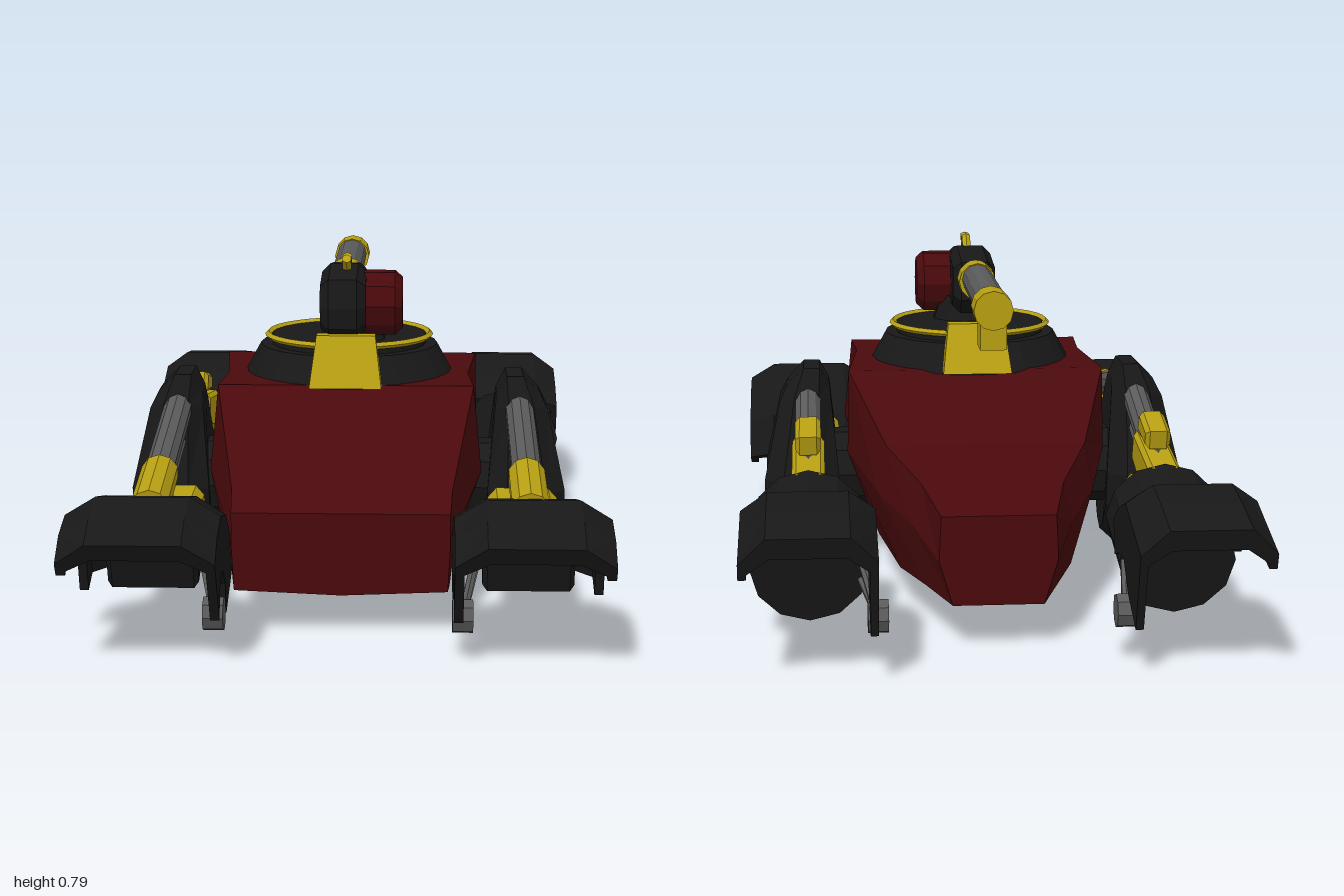
import * as THREE from 'three';

const mat = (color, side = THREE.FrontSide) =>
  new THREE.MeshStandardMaterial({ color, flatShading: true, side });
const RED = mat(0x4a090c), BLACK = mat(0x181818), YELLOW = mat(0xb8a012), GREY = mat(0x5a5a5a);
const SHELL = mat(0x181818, THREE.DoubleSide);
const lerp = THREE.MathUtils.lerp;

function add(parent, name, geometry, material) {
  const mesh = new THREE.Mesh(geometry, material);
  mesh.name = name;
  parent.add(mesh);
  return mesh;
}

// Closed skin over a list of cross-sections (loops of [x, y, z]), capped at both ends
function loft(sections) {
  const pos = [], n = sections[0].length;
  const quad = (a, b, c, d) => pos.push(...a, ...b, ...c, ...a, ...c, ...d);
  for (let i = 0; i < sections.length - 1; i++) {
    const A = sections[i], B = sections[i + 1];
    for (let j = 0; j < n; j++) {
      const k = (j + 1) % n;
      quad(A[j], A[k], B[k], B[j]);
    }
  }
  const A = sections[0], B = sections[sections.length - 1];
  for (let j = 0; j + 1 <= n - 2 - j; j++) {
    quad(A[n - 1 - j], A[n - 2 - j], A[j + 1], A[j]);
    quad(B[j], B[j + 1], B[n - 2 - j], B[n - 1 - j]);
  }
  const g = new THREE.BufferGeometry();
  g.setAttribute('position', new THREE.Float32BufferAttribute(pos, 3));
  g.computeVertexNormals();
  return g;
}

// Side profile of [z, y] points, extruded from x0 to x1 with bevelled edges
function profile(points, x0, x1, bevel = 0.01) {
  const shape = new THREE.Shape(points.map(p => new THREE.Vector2(p[0], p[1])));
  const g = new THREE.ExtrudeGeometry(shape, {
    depth: x1 - x0 - 2 * bevel, bevelThickness: bevel,
    bevelSize: bevel, bevelOffset: -bevel, bevelSegments: 1,
  });
  return g.rotateY(-Math.PI / 2).translate(x1 - bevel, 0, 0);
}

// Round rod between two [x, y, z] points
function rod(a, b, r, sides = 8, r2 = r) {
  const A = new THREE.Vector3(...a), B = new THREE.Vector3(...b), d = B.clone().sub(A);
  const g = new THREE.CylinderGeometry(r2, r, d.length(), sides);
  g.applyQuaternion(new THREE.Quaternion().setFromUnitVectors(new THREE.Vector3(0, 1, 0), d.normalize()));
  return g.translate(...A.add(B).multiplyScalar(0.5).toArray());
}

// Thick arched mudguard: chamfered top, deep inner skirt, outer skirt cut to a share of it
function fender(s, cx, half, outer, inner, outerDepth) {
  return loft(outer.map((o, i) => {
    const at = (dx, t) => [cx + s * dx * half, lerp(o[1], inner[i][1], t), lerp(o[0], inner[i][0], t)];
    const d = outerDepth[i];
    return [
      at(-1, 1), at(-1, 0.25), at(-0.6, 0), at(0.6, 0), at(1, 0.25), at(1, d),
      at(0.88, d), at(0.88, 0.35), at(0.55, 0.2), at(-0.55, 0.2), at(-0.88, 0.35), at(-0.88, 1),
    ];
  }));
}

function makeHull() {
  const hull = new THREE.Group();
  hull.name = 'hull';
  // z, keel y, bottom width, bottom y, middle width, middle y, top width, top y
  const stations = [
    [-0.72, 0.10, 0.10, 0.10, 0.13, 0.20, 0.125, 0.30],
    [-0.56, 0.16, 0.15, 0.10, 0.18, 0.24, 0.16, 0.335],
    [-0.38, 0.19, 0.20, 0.09, 0.25, 0.27, 0.23, 0.38],
    [-0.08, 0.19, 0.24, 0.09, 0.315, 0.30, 0.31, 0.50],
    [0.20, 0.19, 0.24, 0.09, 0.29, 0.30, 0.285, 0.50],
    [0.36, 0.09, 0.24, 0.09, 0.315, 0.30, 0.295, 0.50],
    [0.59, 0.09, 0.24, 0.09, 0.255, 0.22, 0.245, 0.31],
    [0.67, 0.09, 0.235, 0.10, 0.24, 0.20, 0.24, 0.275],
  ];
  add(hull, 'hullBody', loft(stations.map(([z, k, wb, yb, wm, ym, wt, yt]) => [
    [0, k, z], [wb, yb, z], [wm, ym, z], [wt, yt, z], [-wt, yt, z], [-wm, ym, z], [-wb, yb, z],
  ])), RED);
  // Hatch frames on the sloped underside
  const V = (x, y) => new THREE.Vector2(x, y);
  const frame = new THREE.Shape([V(-0.07, -0.08), V(0.07, -0.08), V(0.045, 0.08), V(-0.045, 0.08)]);
  frame.holes.push(new THREE.Path([V(-0.05, -0.06), V(-0.03, 0.06), V(0.03, 0.06), V(0.05, -0.06)]));
  for (const s of [1, -1])
    add(hull, 'bellyHatch', new THREE.ExtrudeGeometry(frame, { depth: 0.015, bevelEnabled: false })
      .rotateX(-Math.PI / 2).rotateZ(-s * 0.4).translate(s * 0.13, 0.128, 0), BLACK);
  return hull;
}

function makeTurret() {
  const t = new THREE.Group();
  t.name = 'turret';
  const cz = 0.13;
  add(t, 'turretBase', new THREE.CylinderGeometry(0.212, 0.25, 0.07, 24).translate(0, 0.528, cz), BLACK);
  add(t, 'turretDisc', new THREE.CylinderGeometry(0.185, 0.185, 0.03, 24).translate(0, 0.57, cz), BLACK);
  add(t, 'turretRing', new THREE.TorusGeometry(0.194, 0.008, 4, 32).rotateX(Math.PI / 2).translate(0, 0.584, cz), YELLOW);
  // Slanted brackets at the front and rear of the ring
  for (const s of [1, -1]) {
    const at = (y, w, d0, d1) => [[-w, y, cz + s * d0], [w, y, cz + s * d0], [w, y, cz + s * d1], [-w, y, cz + s * d1]];
    const low = at(0.5, 0.083, 0.21, 0.275), high = at(0.615, 0.068, 0.19, 0.225);
    add(t, 'ringBracket', loft(s > 0 ? [high, low] : [low, high]), YELLOW);
  }
  // Gun housing, side pod, sight
  add(t, 'gunPedestal', new THREE.CylinderGeometry(0.06, 0.08, 0.06, 10).translate(0.01, 0.615, 0.2), BLACK);
  add(t, 'gunHousing', profile([[0.37, 0.68], [0.36, 0.745], [0.22, 0.765], [0.05, 0.745], [0.05, 0.65],
    [0.1, 0.61], [0.3, 0.6], [0.36, 0.63]], -0.06, 0.045, 0.02), BLACK);
  add(t, 'podBody', rod([0.04, 0.675, 0.23], [0.112, 0.675, 0.23], 0.077, 10), RED);
  add(t, 'podCap', rod([0.112, 0.675, 0.23], [0.13, 0.675, 0.23], 0.077, 10, 0.06), RED);
  for (const z of [0.25, 0.29])
    add(t, 'sight', rod([0, 0.755, z - 0.03], [0, 0.785, z], 0.012, 6), YELLOW);
  // Barrel
  const x = -0.01, y = 0.705;
  add(t, 'barrelCollar', rod([x, y, 0.06], [x, y, -0.01], 0.045, 12), YELLOW);
  add(t, 'barrel', rod([x, y + 0.005, -0.01], [x, y + 0.005, -0.39], 0.038, 12), GREY);
  add(t, 'muzzle', rod([x, y, -0.38], [x, y, -0.465], 0.045, 12), YELLOW);
  add(t, 'muzzleFoot', new THREE.BoxGeometry(0.06, 0.08, 0.08).translate(x, 0.655, -0.42), YELLOW);
  add(t, 'muzzleBrace', rod([x, 0.685, -0.34], [x, 0.65, -0.39], 0.025, 8), GREY);
  return t;
}

function makeSide(s) {
  const side = new THREE.Group();
  side.name = s > 0 ? 'leftRunningGear' : 'rightRunningGear';
  const cx = s * 0.41;
  const P = (dx, z, y) => [cx + s * dx, y, z];
  const slab = (name, pts, half, m, bevel) => add(side, name, profile(pts, cx - half, cx + half, bevel), m);

  // Teardrop hub, thinner towards its top
  const hub = new THREE.ExtrudeGeometry(new THREE.Shape(
    [[0.04, 0.485], [0.0, 0.42], [-0.065, 0.22], [-0.05, 0.12], [0.03, 0.03], [0.1, 0.0], [0.17, 0.03],
      [0.24, 0.12], [0.255, 0.22], [0.2, 0.42], [0.16, 0.485]].reverse().map(p => new THREE.Vector2(...p))),
  { depth: 0.5, bevelThickness: 0.25, bevelSize: 0.04, bevelOffset: -0.04, bevelSegments: 1 });
  hub.rotateY(-Math.PI / 2).translate(0.25, 0, 0);
  const p = hub.attributes.position;
  for (let i = 0; i < p.count; i++) {
    const k = THREE.MathUtils.clamp((p.getY(i) - 0.22) / 0.26, 0, 1);
    p.setX(i, s * lerp(lerp(0.335, 0.36, k), lerp(0.52, 0.44, k * k), s * p.getX(i) + 0.5));
  }
  hub.computeVertexNormals();
  add(side, 'hub', hub, BLACK);
  add(side, 'hubAxle', rod([s * 0.25, 0.22, 0.1], [s * 0.36, 0.22, 0.1], 0.1, 10), BLACK);

  // Front leg: thick and thin rod, round yellow sleeves, lower housing
  add(side, 'frontUpperRod', rod(P(0, 0.1, 0.425), P(0, 0.6, 0.325), 0.034, 10), GREY);
  add(side, 'frontLowerRod', rod(P(0, 0.1, 0.355), P(0, 0.6, 0.265), 0.022), GREY);
  add(side, 'frontSleeve', rod(P(0, 0.54, 0.335), P(0, 0.73, 0.3), 0.042, 10), YELLOW);
  add(side, 'frontLowerSleeve', rod(P(0, 0.56, 0.27), P(0, 0.76, 0.25), 0.038, 10), YELLOW);
  slab('frontHousing', [[0.34, 0.15], [0.42, 0.125], [0.59, 0.125], [0.6, 0.25], [0.36, 0.26], [0.335, 0.23]], 0.08, YELLOW, 0.02);
  add(side, 'frontLink', rod(P(0, 0.15, 0.2), P(0, 0.36, 0.2), 0.03), GREY);
  add(side, 'frontFender', fender(s, cx, 0.165,
    [[1.0, 0.29], [0.93, 0.33], [0.83, 0.35], [0.7, 0.32], [0.6, 0.25], [0.55, 0.15]],
    [[0.89, 0.1], [0.87, 0.16], [0.84, 0.19], [0.8, 0.18], [0.76, 0.14], [0.74, 0.07]],
    [0.4, 0.42, 0.5, 0.55, 0.6, 0.65]), SHELL);
  slab('frontFenderRoot', [[0.57, 0.16], [0.69, 0.11], [0.72, 0.2], [0.68, 0.28], [0.61, 0.23]], 0.1, BLACK);

  // Rear leg: rods, yellow slab and clamps, lower link
  add(side, 'rearUpperRod', rod(P(0, 0.1, 0.43), P(0, -0.42, 0.29), 0.032, 10), GREY);
  add(side, 'rearLowerRod', rod(P(0, 0.1, 0.365), P(0, -0.42, 0.24), 0.022), GREY);
  for (const dx of [-0.018, 0.018])
    add(side, 'rearLink', rod(P(dx, 0.0, 0.2), P(dx, -0.42, 0.13), 0.012), GREY);
  slab('rearSlab', [[-0.43, 0.22], [-0.17, 0.29], [-0.195, 0.365], [-0.44, 0.33]], 0.038, YELLOW);
  slab('rearSlabBlock', [[-0.33, 0.35], [-0.2, 0.37], [-0.23, 0.42], [-0.34, 0.395]], 0.03, YELLOW);
  slab('linkClamp', [[-0.13, 0.12], [-0.07, 0.13], [-0.08, 0.23], [-0.14, 0.2]], 0.035, YELLOW);
  slab('linkClamp', [[-0.32, 0.13], [-0.23, 0.15], [-0.22, 0.2], [-0.31, 0.19]], 0.03, YELLOW);
  slab('linkClamp', [[-0.38, 0.06], [-0.34, 0.07], [-0.35, 0.17], [-0.4, 0.16]], 0.04, YELLOW);
  add(side, 'rearDrum', rod(P(0, -0.4, 0.21), P(0, -0.615, 0.16), 0.132, 12), BLACK);
  add(side, 'rearFender', fender(s, cx, 0.143,
    [[-0.59, 0.28], [-0.67, 0.335], [-0.77, 0.375], [-0.88, 0.36], [-1.0, 0.335]],
    [[-0.62, 0.18], [-0.68, 0.2], [-0.75, 0.21], [-0.82, 0.15], [-0.93, 0.105]],
    [1, 0.8, 0.6, 0.45, 0.4]), SHELL);

  // Small casters at the inner edge of each fender
  for (const [z, y, z2, y2] of [[0.81, 0.09, 0.74, 0.2], [-0.81, 0.11, -0.6, 0.15]]) {
    const x = s * 0.265;
    add(side, 'caster', rod([x - 0.022, y, z], [x + 0.022, y, z], 0.037, 8), GREY);
    for (const d of [-0.018, 0.018])
      add(side, 'casterArm', rod([x, y, z], [x + s * 0.03, y2 + d, z2 + d], 0.01, 6), GREY);
  }
  return side;
}

export function createModel() {
  const model = new THREE.Group();
  model.name = 'hoverVehicle';
  model.add(makeHull(), makeTurret(), makeSide(1), makeSide(-1));
  return model;
}
